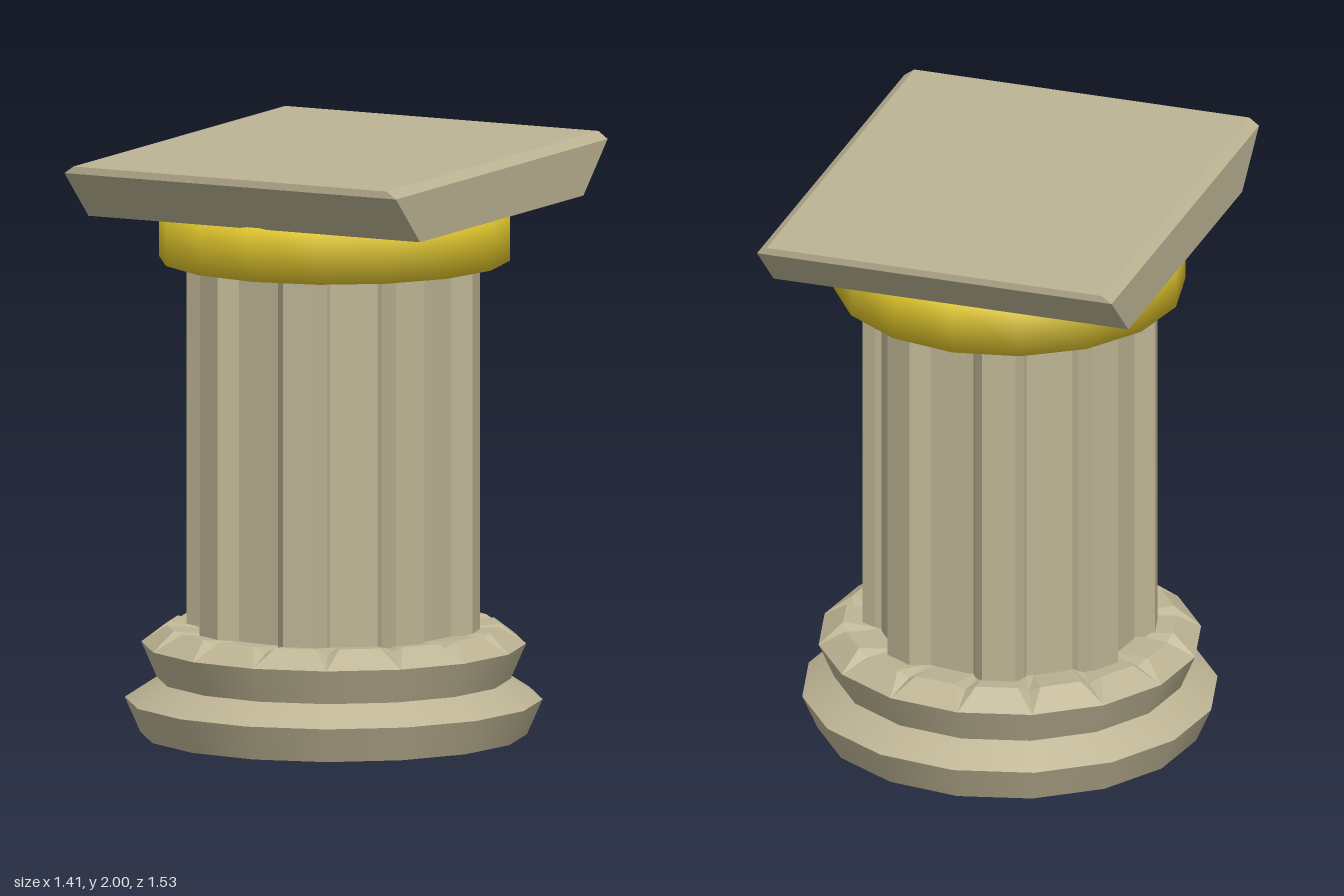
import * as THREE from 'three';

const SIDES = 16;
const rad = THREE.MathUtils.degToRad;

// Point on a circle, angle in degrees measured from the front (+z) towards +x
const polar = (deg, r, y) => [r * Math.sin(rad(deg)), y, r * Math.cos(rad(deg))];

// Skin between closed rings of equal length, listed outward/bottom first
function loft(rings) {
  const pos = [];
  for (let i = 0; i < rings.length - 1; i++) {
    const lo = rings[i], hi = rings[i + 1], n = lo.length;
    for (let j = 0; j < n; j++) {
      const k = (j + 1) % n;
      pos.push(...lo[j], ...lo[k], ...hi[k], ...lo[j], ...hi[k], ...hi[j]);
    }
  }
  const g = new THREE.BufferGeometry();
  g.setAttribute('position', new THREE.Float32BufferAttribute(pos, 3));
  g.computeVertexNormals();
  return g;
}

export function createModel() {
  const stone = new THREE.MeshStandardMaterial({ name: 'stone', color: 0xbdb494, side: THREE.DoubleSide });
  const gold = new THREE.MeshStandardMaterial({ name: 'gold', color: 0xe0c62c, side: THREE.DoubleSide });

  const model = new THREE.Group();
  model.name = 'column';
  const add = (name, geometry, material, parent = model) => {
    const mesh = new THREE.Mesh(geometry, material);
    mesh.name = name;
    parent.add(mesh);
    return mesh;
  };

  // Base: hollow stack of conical bands, smooth around and sharp between
  const base = new THREE.Group();
  base.name = 'base';
  base.position.set(-0.003, 0, 0.011);
  model.add(base);
  const phase = 3.2;
  const profile = [[0.655, 0], [0.708, 0.12], [0.6, 0.19], [0.652, 0.31]];
  for (let i = 0; i < profile.length - 1; i++) {
    const [r0, y0] = profile[i], [r1, y1] = profile[i + 1];
    const band = new THREE.CylinderGeometry(r1, r0, y1 - y0, SIDES, 1, true, rad(phase));
    band.translate(0, (y0 + y1) / 2, 0);
    add('baseBand' + (i + 1), band, stone, base);
  }

  // Collar: faceted top of the base with a small notch at every corner
  const outer = [], rim = [], inner = [];
  for (let k = 0; k < SIDES; k++) {
    const a = phase + (k * 360) / SIDES;
    for (const d of [-4, 0, 4]) {
      outer.push(polar(a, 0.652, 0.31));
      rim.push(d ? polar(a + d, 0.565, 0.372) : polar(a, 0.55, 0.35));
      inner.push(polar(a + d, 0.44, 0.36));
    }
  }
  add('baseCollar', loft([outer, rim, inner]), stone, base);

  // Shaft: eight chamfered ribs with flat flutes between them
  const ribSection = [[-0.09, 0.43], [-0.085, 0.45], [-0.057, 0.497], [0.057, 0.497], [0.085, 0.45], [0.09, 0.43]];
  const ring = (y) => {
    const pts = [];
    for (let k = 0; k < 8; k++) {
      const a = rad(14.5 + k * 45), s = Math.sin(a), c = Math.cos(a);
      for (const [u, v] of ribSection) pts.push([v * s + u * c, y, v * c - u * s]);
    }
    return pts;
  };
  add('flutedShaft', loft([ring(0.345), ring(1.72)]), stone).position.set(-0.003, 0, 0.013);

  // Cushion under the slab, with normals rolling over its edges
  const cushion = [[0.4, 1.625], [0.597, 1.625], [0.597, 1.81], [0.4, 1.81]];
  add('cushion', new THREE.LatheGeometry(cushion.map(([r, y]) => new THREE.Vector2(r, y)), SIDES), gold)
    .position.set(-0.003, 0, 0.005);

  // Top slab: flares towards front and back, top edges bevelled at the sides
  const levels = [[1.805, 0.635, 0.592], [1.975, 0.635, 0.767], [2, 0.6, 0.767]];
  const slab = new THREE.BoxGeometry(2, 2, 2, 1, 2, 1).toNonIndexed();
  const p = slab.attributes.position;
  for (let i = 0; i < p.count; i++) {
    const [y, hx, hz] = levels[Math.round(p.getY(i)) + 1];
    p.setXYZ(i, p.getX(i) * hx, y, p.getZ(i) * hz);
  }
  slab.computeVertexNormals();
  add('topSlab', slab, stone);

  return model;
}
